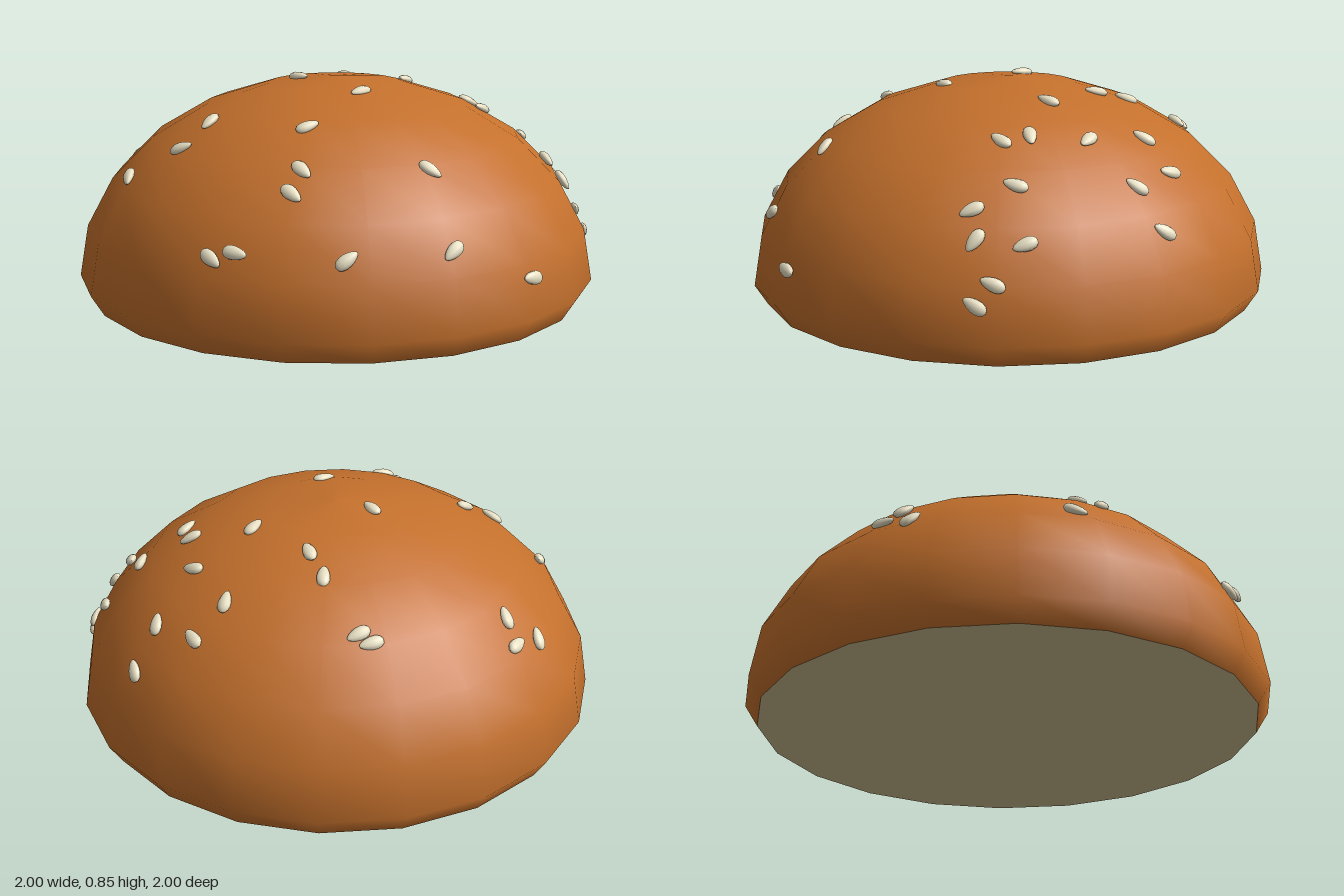
import * as THREE from 'three';

const SIDES = 20, RIM_Y = 0.08, DOME_H = 0.765;

// Seeds seen from above: x, z, then the direction (dx, dz) of the long axis
const SEEDS = [
  [-0.055, -0.9, 1, 0.35], [-0.02, -0.785, 1, 0.8], [-0.21, -0.735, 1, 0],
  [-0.2, -0.595, 0.8, 0.8], [0.05, -0.59, 1, -0.4], [0.45, -0.78, 1, 0.35],
  [0.575, -0.77, 0.8, 0.8], [0.635, -0.75, 0.7, 0.8], [0.585, -0.675, 1, 0],
  [0.555, -0.61, 1, 0.4], [0.395, -0.64, 0.7, 0.8], [0.24, -0.5, 0.5, -1],
  [0.34, -0.465, 0.25, 1], [0.045, -0.335, 0.4, 1], [-0.65, -0.265, 0.25, -1],
  [-0.605, -0.29, 0.1, -1], [-0.36, -0.28, 1, 0.7], [-0.23, -0.26, 1, 0.25],
  [-0.12, 0.085, 1, 0], [0.235, 0.095, 0, 1], [0.695, 0.2, 1, -0.5],
  [0.98, -0.03, 0, 1], [0.885, 0.28, 0, 1], [0.3, 0.42, 0.3, -1],
  [0.43, 0.565, 1, 0], [0.46, 0.64, 1, -0.1], [0.705, 0.61, 0.4, -1],
  [0.395, 0.84, 1, -0.4], [0.32, 0.885, 1, -0.1], [-0.1, 0.545, 0.2, 1],
  [-0.1, 0.68, 1, -0.5], [-0.305, 0.77, 0.8, 0.8], [-0.78, 0.28, 0.4, 1],
  [-0.7, 0.29, 1, 0.2], [-0.75, 0.405, 1, 0.3],
];

// Flattened ellipsoid, long axis on x, narrowing to one end
function seedGeometry() {
  const g = new THREE.SphereGeometry(1, 10, 8).rotateZ(Math.PI / 2);
  const p = g.attributes.position;
  for (let i = 0; i < p.count; i++) {
    const taper = 1 - 0.25 * p.getX(i);
    p.setXYZ(i, p.getX(i) * 0.046, p.getY(i) * 0.017 * taper, p.getZ(i) * 0.025 * taper);
  }
  g.computeVertexNormals();
  return g;
}

export function createModel() {
  const group = new THREE.Group();
  group.name = 'bunTop';
  const crust = new THREE.MeshStandardMaterial({ color: 0xc4702c });
  const crumb = new THREE.MeshStandardMaterial({ color: 0xd2c294 });
  const seedMat = new THREE.MeshStandardMaterial({ color: 0xe8e0c4 });

  // Crust: tucked-in base edge, then a squashed hemisphere
  const profile = [new THREE.Vector2(0.95, 0)];
  for (let i = 0; i <= 6; i++) {
    const a = (i * Math.PI) / 12;
    profile.push(new THREE.Vector2(i === 6 ? 0 : Math.cos(a), RIM_Y + DOME_H * Math.sin(a)));
  }
  const dome = new THREE.Mesh(new THREE.LatheGeometry(profile, SIDES), crust);
  dome.name = 'crust';
  group.add(dome);

  // Cut underside
  const base = new THREE.Mesh(new THREE.CircleGeometry(0.95, SIDES).rotateX(Math.PI / 2), crumb);
  base.name = 'cutFace';
  group.add(base);

  // Seeds lying along the dome surface
  const seeds = new THREE.Group();
  seeds.name = 'seeds';
  const geo = seedGeometry();
  for (const [x, z, dx, dz] of SEEDS) {
    const h = Math.sqrt(1 - x * x - z * z);
    const normal = new THREE.Vector3(x, h / DOME_H, z).normalize();
    const along = new THREE.Vector3(dx, -(normal.x * dx + normal.z * dz) / normal.y, dz).normalize();
    const across = new THREE.Vector3().crossVectors(along, normal);
    const seed = new THREE.Mesh(geo, seedMat);
    seed.name = 'seed';
    seed.quaternion.setFromRotationMatrix(new THREE.Matrix4().makeBasis(along, normal, across));
    seed.position.set(x, RIM_Y + DOME_H * h, z);
    seeds.add(seed);
  }
  group.add(seeds);
  return group;
}
